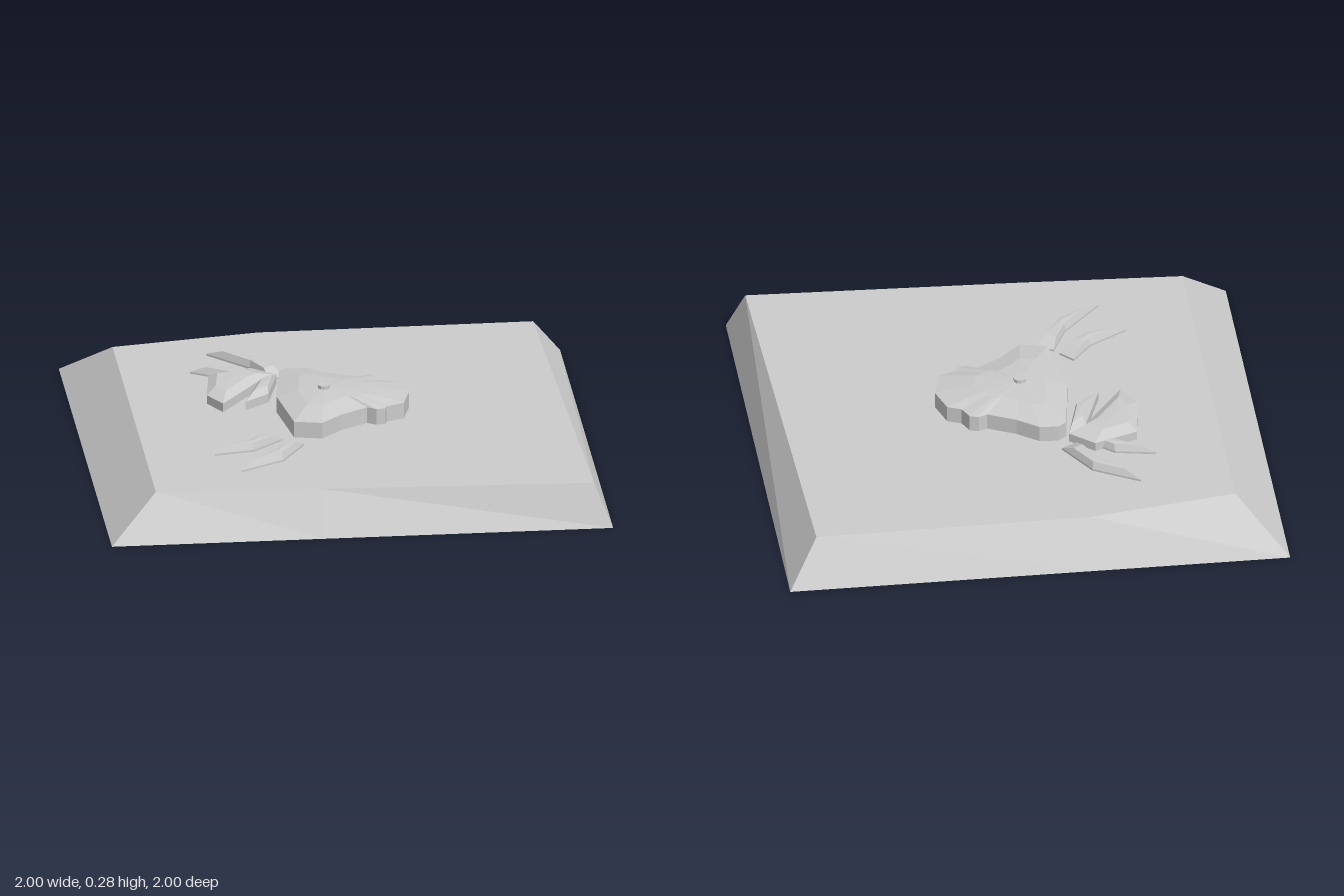
import * as THREE from 'three';

const material = new THREE.MeshStandardMaterial({ color: 0xcccccc, flatShading: true, side: THREE.DoubleSide });

// Skins a stack of rings (lists of [x, y, z], bottom first) and closes the top, and optionally the bottom, with a fan.
function loft(name, rings, topCentre, bottomCentre) {
  const pos = [];
  const tri = (a, b, c) => pos.push(...a, ...b, ...c);
  const n = rings[0].length;
  for (let i = 0; i < n; i++) {
    const j = (i + 1) % n;
    for (let r = 0; r < rings.length - 1; r++) {
      const lo = rings[r], hi = rings[r + 1];
      tri(lo[i], hi[i], hi[j]);
      tri(lo[i], hi[j], lo[j]);
    }
    const top = rings[rings.length - 1];
    tri(topCentre, top[j], top[i]);
    if (bottomCentre) tri(bottomCentre, rings[0][i], rings[0][j]);
  }
  const geometry = new THREE.BufferGeometry();
  geometry.setAttribute('position', new THREE.Float32BufferAttribute(pos, 3));
  geometry.computeVertexNormals();
  const mesh = new THREE.Mesh(geometry, material);
  mesh.name = name;
  return mesh;
}

// Ring from a plan outline, shrunk towards a centre and set at a height.
const ring = (outline, [cx, cz], scale, y) =>
  outline.map(([x, z]) => [cx + (x - cx) * scale, y, cz + (z - cz) * scale]);

// Plate with upright walls, a bevelled rim and a shallow peak.
function plate(name, outline, centre, { bottom, rim, inner, shoulder, peak, closed }) {
  const [cx, cz] = centre;
  return loft(name,
    [ring(outline, centre, 1, bottom), ring(outline, centre, 1, rim), ring(outline, centre, inner, shoulder)],
    [cx, peak, cz], closed ? [cx, bottom, cz] : null);
}

const MID_Z = 0.022;
const mirror = (outline) => outline.map(([x, z]) => [x, 2 * MID_Z - z]).reverse();

export function createModel() {
  const group = new THREE.Group();

  // Hollow sloping slab, open underneath
  const base = [[-1, -1], [-0.2, -1], [1, -1], [1, 1], [-0.15, 1], [-1, 1]];
  const top = [[-0.81, -0.77], [-0.22, -0.87], [0.88, -0.88], [0.93, 0.94], [-0.15, 0.895], [-0.81, 0.86]];
  group.add(loft('slab', [ring(base, [0, 0], 1, 0), ring(top, [0, 0], 1, 0.172)], [0, 0.172, 0]));

  // Shell with two small eye bumps on its edge
  const shell = [
    [-0.24, 0.02], [-0.2, -0.26], [-0.165, -0.29], [-0.09, -0.285], [-0.005, -0.22], [0.105, -0.165],
    [0.14, -0.18], [0.175, -0.17], [0.2, -0.115], [0.255, -0.09], [0.29, 0.02], [0.255, 0.145],
    [0.185, 0.175], [0.175, 0.2], [0.14, 0.205], [0.105, 0.18], [-0.005, 0.25], [-0.04, 0.285],
    [-0.09, 0.335], [-0.2, 0.31],
  ];
  group.add(plate('shell', shell, [-0.05, MID_Z],
    { bottom: 0.04, rim: 0.238, inner: 0.55, shoulder: 0.262, peak: 0.27 }));

  // Knob on the shell
  const knob = new THREE.Mesh(new THREE.CylinderGeometry(0.025, 0.025, 0.03, 10), material);
  knob.name = 'knob';
  knob.position.set(-0.05, 0.267, MID_Z);
  group.add(knob);

  // Pincer: broad palm and narrow thumb
  const pincer = new THREE.Group();
  pincer.name = 'pincer';
  const form = { bottom: 0.13, rim: 0.208, inner: 0.6, shoulder: 0.23, peak: 0.232, closed: true };
  pincer.add(
    plate('palm', [[-0.475, -0.32], [-0.3, -0.385], [-0.205, -0.3], [-0.28, -0.24], [-0.45, 0], [-0.505, -0.1]],
      [-0.4, -0.22], form),
    plate('thumb', [[-0.205, -0.3], [-0.26, -0.09], [-0.36, -0.01], [-0.28, -0.24]], [-0.26, -0.17], form),
  );
  group.add(pincer);

  // Bent, pointed legs, a pair on each side
  const legs = [
    ['longLeg', [[-0.45, -0.635], [-0.27, -0.53], [-0.17, -0.36], [-0.23, -0.325], [-0.295, -0.465]], [-0.283, -0.494]],
    ['shortLeg', [[-0.535, -0.44], [-0.375, -0.41], [-0.25, -0.3], [-0.3, -0.245], [-0.38, -0.345]], [-0.37, -0.375]],
  ];
  const legForm = { bottom: 0.09, rim: 0.18, inner: 0.65, shoulder: 0.207, peak: 0.21, closed: true };
  for (const [name, outline, centre] of legs) {
    group.add(plate(name + 'Right', outline, centre, legForm));
    group.add(plate(name + 'Left', mirror(outline), mirror([centre])[0], legForm));
  }

  return group;
}
